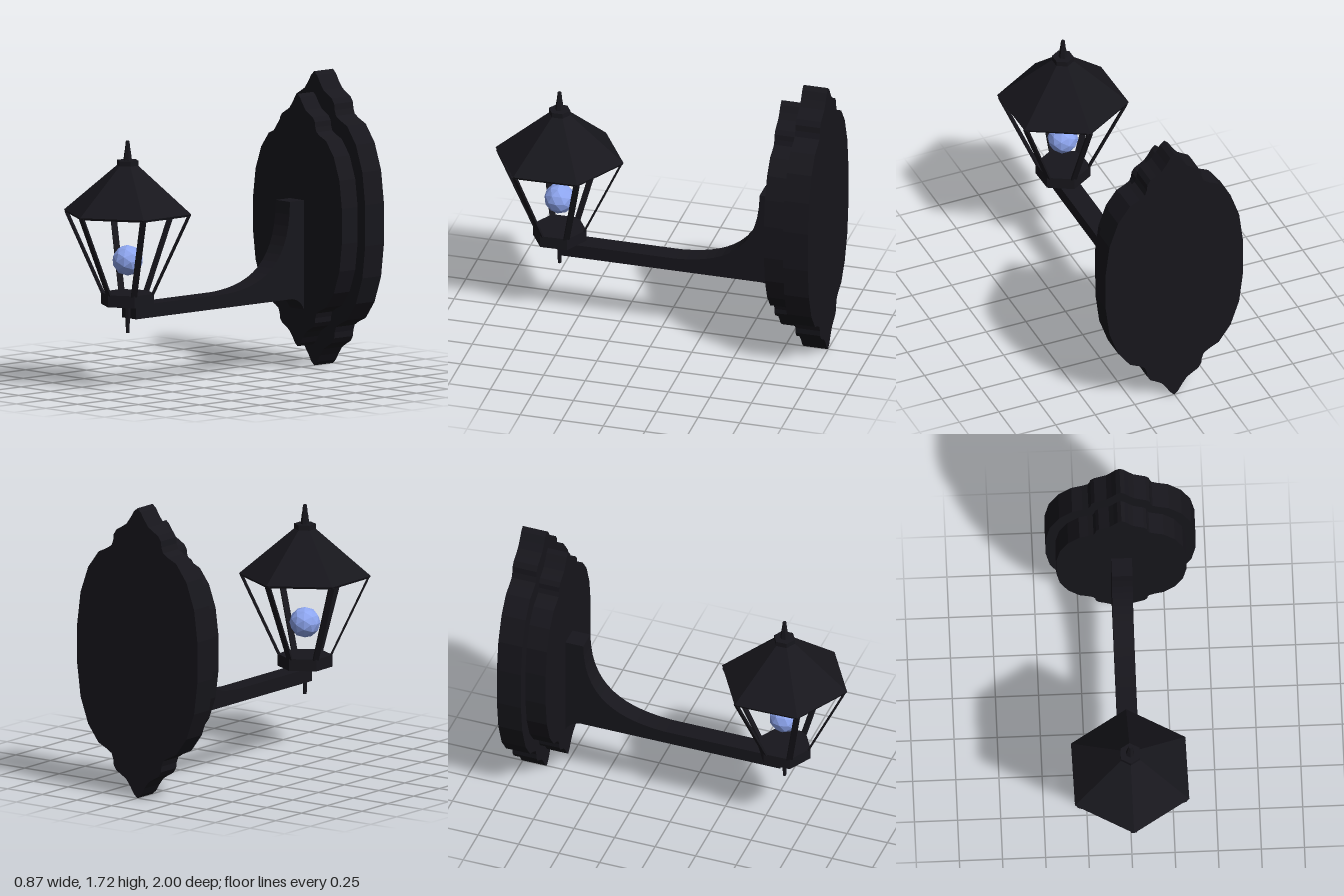
import * as THREE from 'three';

const iron = new THREE.MeshStandardMaterial({ color: 0x17161c, flatShading: true });
const glow = new THREE.MeshStandardMaterial({ color: 0x8ea6f0, flatShading: true });

function add(parent, name, geometry, material = iron) {
  const mesh = new THREE.Mesh(geometry, material);
  mesh.name = name;
  parent.add(mesh);
  return mesh;
}

// Upper right quarter of the plate outline, relative to the plate centre
const quarter = [
  [0, 0.86], [0.025, 0.838], [0.05, 0.797], [0.08, 0.757], [0.115, 0.735], [0.15, 0.715],
  [0.17, 0.685], [0.174, 0.65], [0.186, 0.617], [0.22, 0.595], [0.28, 0.567],
  [0.355, 0.465], [0.41, 0.31], [0.434, 0.12],
];

function plateGeometry(sx, sy, depth) {
  const right = [...quarter, ...quarter.map(([x, y]) => [x, -y]).reverse()];
  const left = right.slice(1, -1).map(([x, y]) => [-x, y]).reverse();
  const shape = new THREE.Shape([...right, ...left].map(([x, y]) => new THREE.Vector2(x * sx, y * sy)));
  return new THREE.ExtrudeGeometry(shape, { depth, bevelEnabled: false });
}

// Side profile of the bracket, drawn as (z, y)
function armGeometry() {
  const s = new THREE.Shape();
  s.moveTo(0.61, 0.415);
  s.lineTo(0.61, 0.495);
  s.lineTo(-0.1, 0.495);
  s.bezierCurveTo(-0.4, 0.51, -0.6, 0.62, -0.605, 0.985);
  s.lineTo(-0.715, 0.985);
  s.lineTo(-0.715, 0.345);
  s.quadraticCurveTo(-0.69, 0.405, -0.62, 0.415);
  s.closePath();
  const g = new THREE.ExtrudeGeometry(s, { depth: 0.12, bevelEnabled: false, curveSegments: 14 });
  return g.translate(0, 0, -0.06).rotateY(-Math.PI / 2);
}

// Stack of hexagonal frustums, corners on the z axis
function hex(parent, name, rTop, rBottom, y0, y1) {
  const mesh = add(parent, name, new THREE.CylinderGeometry(rTop, rBottom, y1 - y0, 6));
  mesh.position.y = (y0 + y1) / 2;
  return mesh;
}

export function createModel() {
  const model = new THREE.Group();
  model.name = 'wallLantern';

  // Wall plates
  add(model, 'backPlate', plateGeometry(1, 1, 0.148)).position.set(0, 0.86, -1);
  add(model, 'frontPlate', plateGeometry(0.87, 0.858, 0.125)).position.set(0, 0.862, -0.845);

  add(model, 'arm', armGeometry());

  // Lantern
  const lantern = new THREE.Group();
  lantern.name = 'lantern';
  lantern.position.set(-0.005, 0, 0.617);
  lantern.rotation.y = 0.02;
  model.add(lantern);

  hex(lantern, 'lowerFinialTip', 0.014, 0.01, 0.33, 0.42);
  hex(lantern, 'lowerFinial', 0.02, 0.018, 0.42, 0.495);
  hex(lantern, 'lanternBase', 0.16, 0.16, 0.495, 0.565);
  hex(lantern, 'roofRim', 0.383, 0.376, 1.025, 1.038);
  hex(lantern, 'roof', 0.055, 0.383, 1.038, 1.318);
  hex(lantern, 'roofCollar', 0.064, 0.064, 1.31, 1.34);
  hex(lantern, 'finial', 0.018, 0.026, 1.34, 1.4);
  hex(lantern, 'finialTip', 0.011, 0.017, 1.4, 1.453);

  // Six flat posts leaning outwards, one per corner
  const bottom = new THREE.Vector2(0.15, 0.56);
  const top = new THREE.Vector2(0.37, 1.03);
  const lean = Math.atan2(top.x - bottom.x, top.y - bottom.y);
  for (let i = 0; i < 6; i++) {
    const g = new THREE.BoxGeometry(0.035, bottom.distanceTo(top), 0.012);
    g.rotateX(lean);
    g.translate(0, (bottom.y + top.y) / 2, (bottom.x + top.x) / 2);
    add(lantern, 'post', g).rotation.y = (i * Math.PI) / 3;
  }

  add(lantern, 'bulb', new THREE.IcosahedronGeometry(0.09, 1), glow).position.y = 0.755;

  return model;
}
